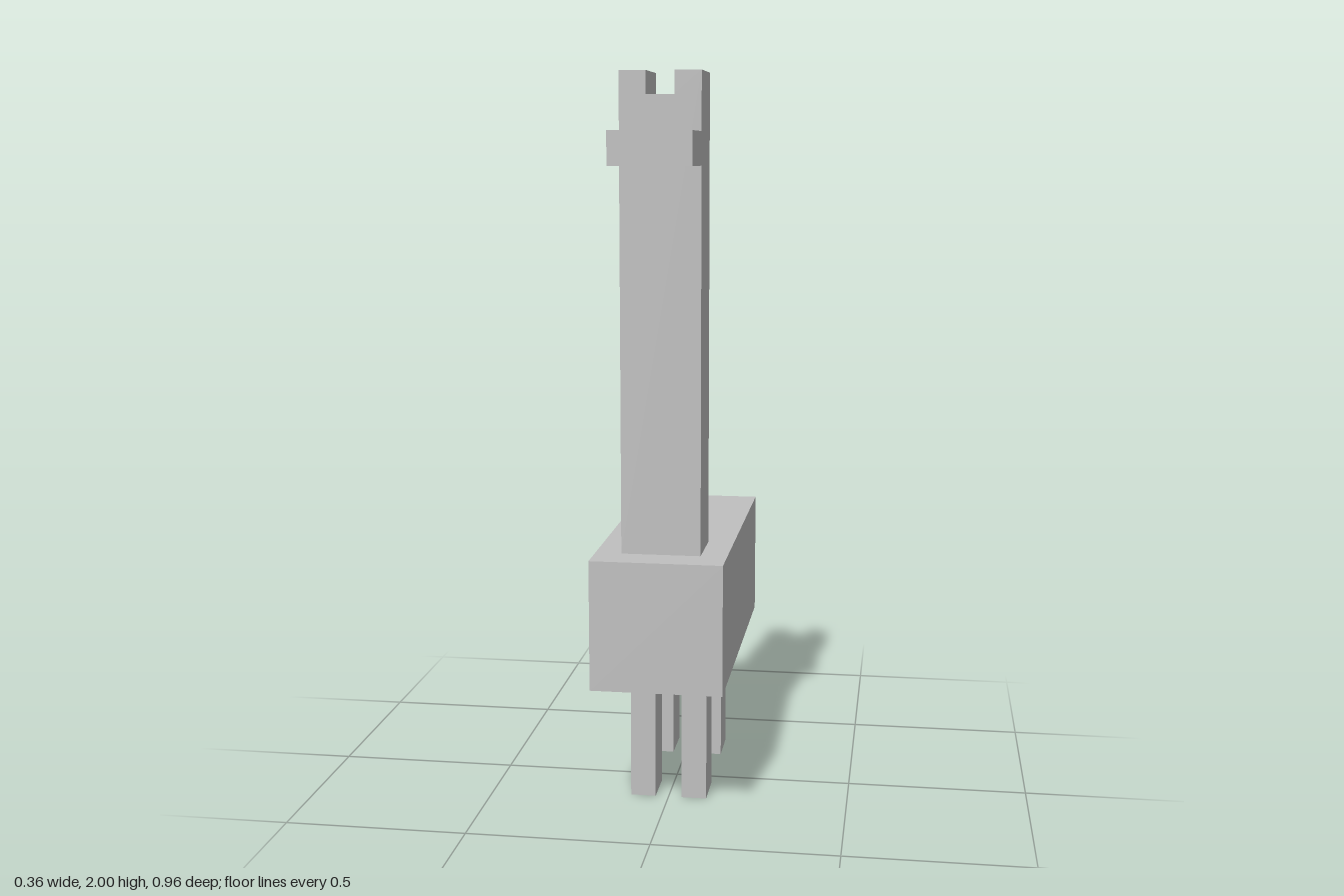
import * as THREE from 'three';

export function createModel() {
  const model = new THREE.Group();
  model.name = 'longNeckedAnimal';
  const grey = new THREE.MeshStandardMaterial({ color: 0xc0c0c0 });
  grey.name = 'grey';

  function add(name, geometry) {
    const mesh = new THREE.Mesh(geometry, grey);
    mesh.name = name;
    model.add(mesh);
    return mesh;
  }

  // Box given by its lowest and highest corners
  function box(name, [x0, y0, z0], [x1, y1, z1]) {
    const mesh = add(name, new THREE.BoxGeometry(x1 - x0, y1 - y0, z1 - z0));
    mesh.position.set((x0 + x1) / 2, (y0 + y1) / 2, (z0 + z1) / 2);
  }

  const half = 0.107; // half width of neck, snout and leg stance
  const gap = 0.037; // half width between horns and between legs

  box('body', [-0.178, 0.38, -0.48], [0.178, 0.735, 0.4]);

  // Neck and head, with a notch at the top leaving two horns
  const outline = new THREE.Shape([
    [-half, 0.735], [half, 0.735], [half, 2], [gap, 2],
    [gap, 1.94], [-gap, 1.94], [-gap, 2], [-half, 2],
  ].map(([x, y]) => new THREE.Vector2(x, y)));
  const neck = add('neckAndHorns',
    new THREE.ExtrudeGeometry(outline, { depth: 0.167, bevelEnabled: false }));
  neck.position.z = 0.138;

  box('snout', [-half, 1.76, 0.305], [half, 1.847, 0.48]);

  // Four legs
  for (const [end, z] of [['front', 0.05], ['back', -0.3]]) {
    box(end + 'LeftLeg', [gap, 0, z], [half, 0.38, z + 0.12]);
    box(end + 'RightLeg', [-half, 0, z], [-gap, 0.38, z + 0.12]);
  }

  return model;
}
